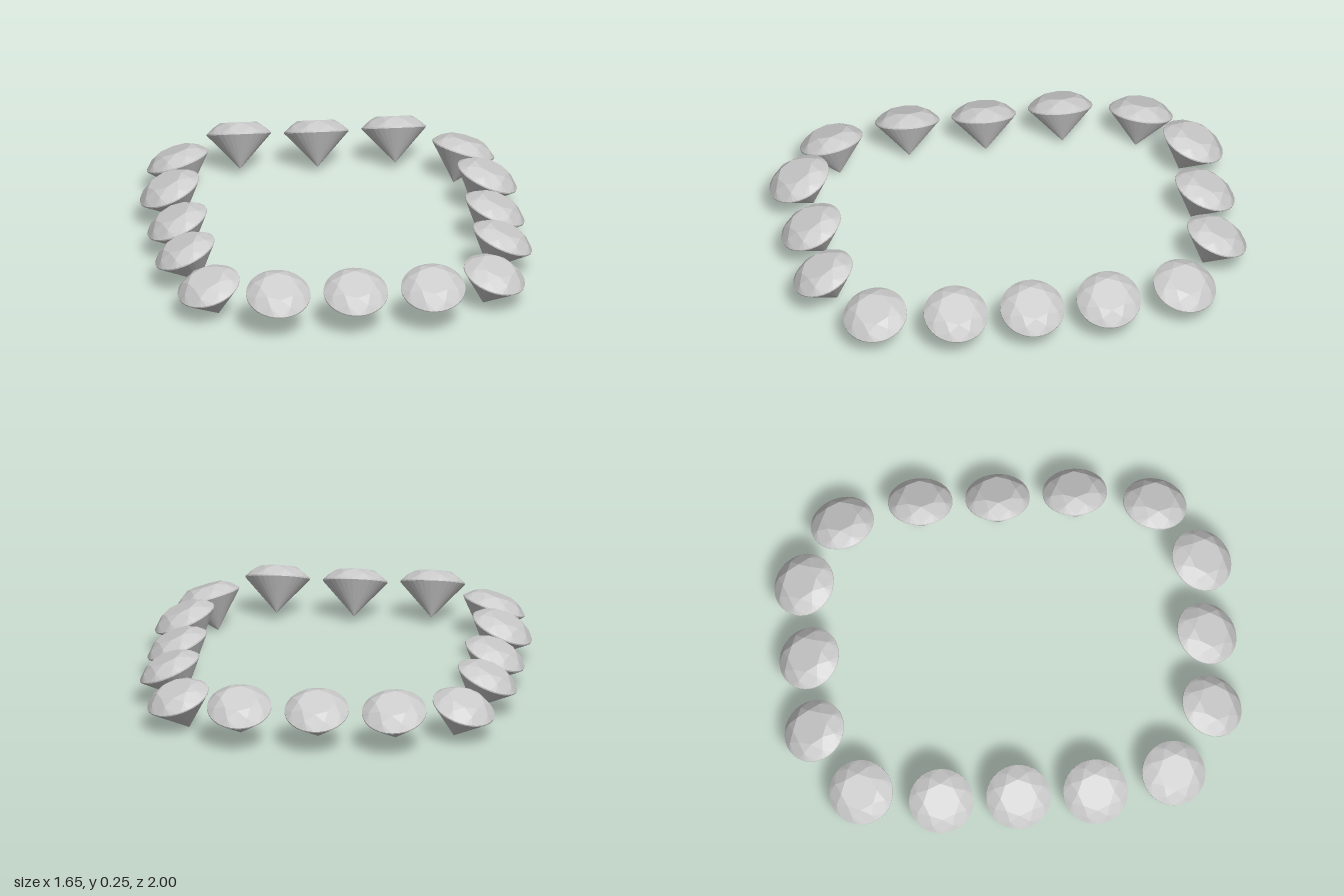
import * as THREE from 'three';

const RADIUS = 0.141, TABLE = 0.08, CROWN = 0.05, PAVILION = 0.153, RIM = 0.003;

// One round brilliant-cut stone, girdle centred on the origin, table facing +y
function brilliantGeometry() {
  const ring = (r, y, turns) => {
    const a = turns * Math.PI * 2;
    return [r * Math.sin(a), y, r * Math.cos(a)];
  };
  const table = k => ring(TABLE, CROWN, k / 8);
  const kite = k => ring(0.115, 0.03, (k + 0.5) / 8);
  const girdleTop = j => ring(RADIUS, RIM, j / 32);
  const girdleLow = j => ring(RADIUS, -RIM, j / 32);
  const centre = [0, CROWN, 0], culet = [0, -PAVILION, 0];
  const points = [];
  const tri = (a, b, c) => points.push(...a, ...b, ...c);

  for (let k = 0; k < 8; k++) {
    tri(centre, table(k), table(k + 1)); // table
    tri(table(k), kite(k), table(k + 1)); // star facet
    tri(table(k), kite(k - 1), girdleTop(4 * k)); // kite facet
    tri(table(k), girdleTop(4 * k), kite(k));
    for (let j = 4 * k; j < 4 * k + 4; j++) {
      tri(kite(k), girdleTop(j), girdleTop(j + 1)); // upper girdle facets
      tri(girdleLow(j), girdleLow(j + 1), girdleTop(j + 1)); // girdle band
      tri(girdleLow(j), girdleTop(j + 1), girdleTop(j));
      tri(culet, girdleLow(j + 1), girdleLow(j)); // pavilion
    }
  }
  const geometry = new THREE.BufferGeometry();
  geometry.setAttribute('position', new THREE.Float32BufferAttribute(points, 3));
  geometry.computeVertexNormals();
  return geometry;
}

export function createModel() {
  const model = new THREE.Group();
  model.name = 'gemRing';
  const geometry = brilliantGeometry();
  const material = new THREE.MeshStandardMaterial({ color: 0xcccccc, flatShading: true });
  const up = new THREE.Vector3(0, 1, 0);

  // Stone at a position, its table leaning outward by the given slopes
  const addGem = (name, x, y, z, leanX, leanZ) => {
    const gem = new THREE.Mesh(geometry, material);
    gem.name = name;
    gem.position.set(x, y, z);
    gem.quaternion.setFromUnitVectors(up, new THREE.Vector3(leanX, 1, leanZ).normalize());
    model.add(gem);
  };

  for (const s of [-1, 1]) {
    const end = s > 0 ? 'front' : 'back';
    const side = s > 0 ? 'left' : 'right';
    for (const i of [-1, 0, 1]) {
      // Rows across the two ends and along the two sides
      addGem(`${end}Gem${i + 2}`, i * 0.34, i ? 0.175 : 0.17, s * 0.87, 0, s * 0.45);
      addGem(`${side}Gem${i + 2}`, s * 0.697, i ? 0.16 : 0.152, i * 0.338, s * 0.45, 0);
    }
    // Corner stones
    for (const t of [-1, 1]) {
      addGem(`${end}${t > 0 ? 'Left' : 'Right'}CornerGem`, t * 0.627, 0.142, s * 0.684, t * 0.33, s * 0.22);
    }
  }
  return model;
}
